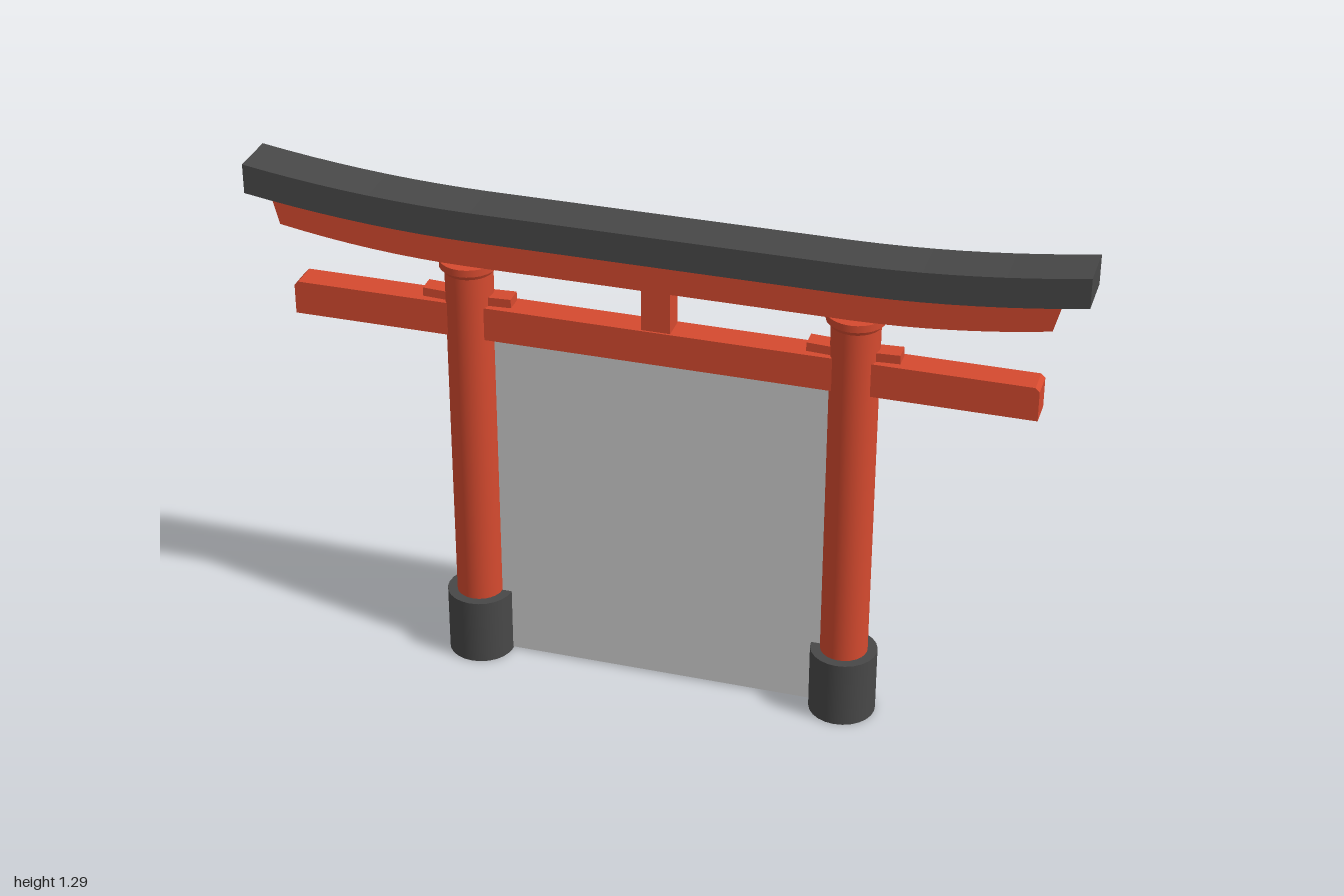
import * as THREE from 'three';

const red = new THREE.MeshStandardMaterial({ color: 0xd54a2f });
const dark = new THREE.MeshStandardMaterial({ color: 0x484848, side: THREE.DoubleSide });
const grey = new THREE.MeshStandardMaterial({ color: 0xcccccc, side: THREE.DoubleSide });

const POST_X = 0.467;

function add(parent, name, geometry, material, x = 0, y = 0, z = 0) {
  const mesh = new THREE.Mesh(geometry, material);
  mesh.name = name;
  mesh.position.set(x, y, z);
  parent.add(mesh);
  return mesh;
}

// Beam that is level in the middle and sweeps up towards both ends
function sweptBeam({ bottomHalf, topHalf, y0, y1, depth, flat, lift }) {
  const steps = 32;
  const edge = (half, y, dir) => Array.from({ length: steps + 1 }, (_, i) => {
    const x = dir * half * (2 * i / steps - 1);
    const t = Math.max(0, Math.abs(x) - flat) / (half - flat);
    return new THREE.Vector2(x, y + lift * t * t);
  });
  const shape = new THREE.Shape([...edge(bottomHalf, y0, 1), ...edge(topHalf, y1, -1)]);
  return new THREE.ExtrudeGeometry(shape, { depth, bevelEnabled: false }).translate(0, 0, -depth / 2);
}

// Straight beam with slightly clipped upper corners
function tieBeamGeometry() {
  const h = 0.9, c = 0.01, y0 = 0.9, y1 = 0.985, depth = 0.07;
  const shape = new THREE.Shape([
    [-h, y0], [h, y0], [h, y1 - c], [h - c, y1], [-h + c, y1], [-h, y1 - c],
  ].map(([x, y]) => new THREE.Vector2(x, y)));
  return new THREE.ExtrudeGeometry(shape, { depth, bevelEnabled: false }).translate(0, 0, -depth / 2);
}

function post(name) {
  const group = new THREE.Group();
  group.name = name;
  // Hollow foot with a flat ring on top
  add(group, 'foot', new THREE.CylinderGeometry(0.082, 0.082, 0.172, 24, 1, true), dark, 0, 0.086);
  add(group, 'footTop', new THREE.RingGeometry(0.05, 0.082, 24).rotateX(-Math.PI / 2), dark, 0, 0.172);
  // Round shaft
  add(group, 'shaft', new THREE.CylinderGeometry(0.058, 0.058, 0.925, 24), red, 0, 0.6325);
  // Flared collar and disc below the lintel
  add(group, 'collar', new THREE.CylinderGeometry(0.066, 0.06, 0.012, 24), red, 0, 1.072);
  add(group, 'capital', new THREE.CylinderGeometry(0.07, 0.07, 0.018, 24), red, 0, 1.087);
  // Wedges driven in on both sides of the shaft, above the tie beam
  for (const side of [-1, 1]) {
    const wedge = add(group, 'wedge', new THREE.BoxGeometry(0.07, 0.022, 0.044), red, side * 0.075, 0.998);
    wedge.rotation.z = side * 0.04;
  }
  return group;
}

export function createModel() {
  const model = new THREE.Group();
  model.name = 'gate';

  for (const [name, side] of [['leftPost', 1], ['rightPost', -1]]) {
    const p = post(name);
    p.position.x = side * POST_X;
    model.add(p);
  }

  // Tie beam and the short strut above it
  add(model, 'tieBeam', tieBeamGeometry(), red);
  add(model, 'centreStrut', new THREE.BoxGeometry(0.07, 0.125, 0.06), red, 0, 1.042);

  // Lintel and the cap beam over it
  add(model, 'lintel', sweptBeam({
    bottomHalf: 0.92, topHalf: 0.94, y0: 1.097, y1: 1.172, depth: 0.094, flat: 0.45, lift: 0.043,
  }), red);
  add(model, 'capBeam', sweptBeam({
    bottomHalf: 1, topHalf: 1, y0: 1.169, y1: 1.243, depth: 0.122, flat: 0.42, lift: 0.047,
  }), dark);

  // Thin panel filling the opening
  add(model, 'panel', new THREE.PlaneGeometry(POST_X * 2, 0.91), grey, 0, 0.46);

  return model;
}
